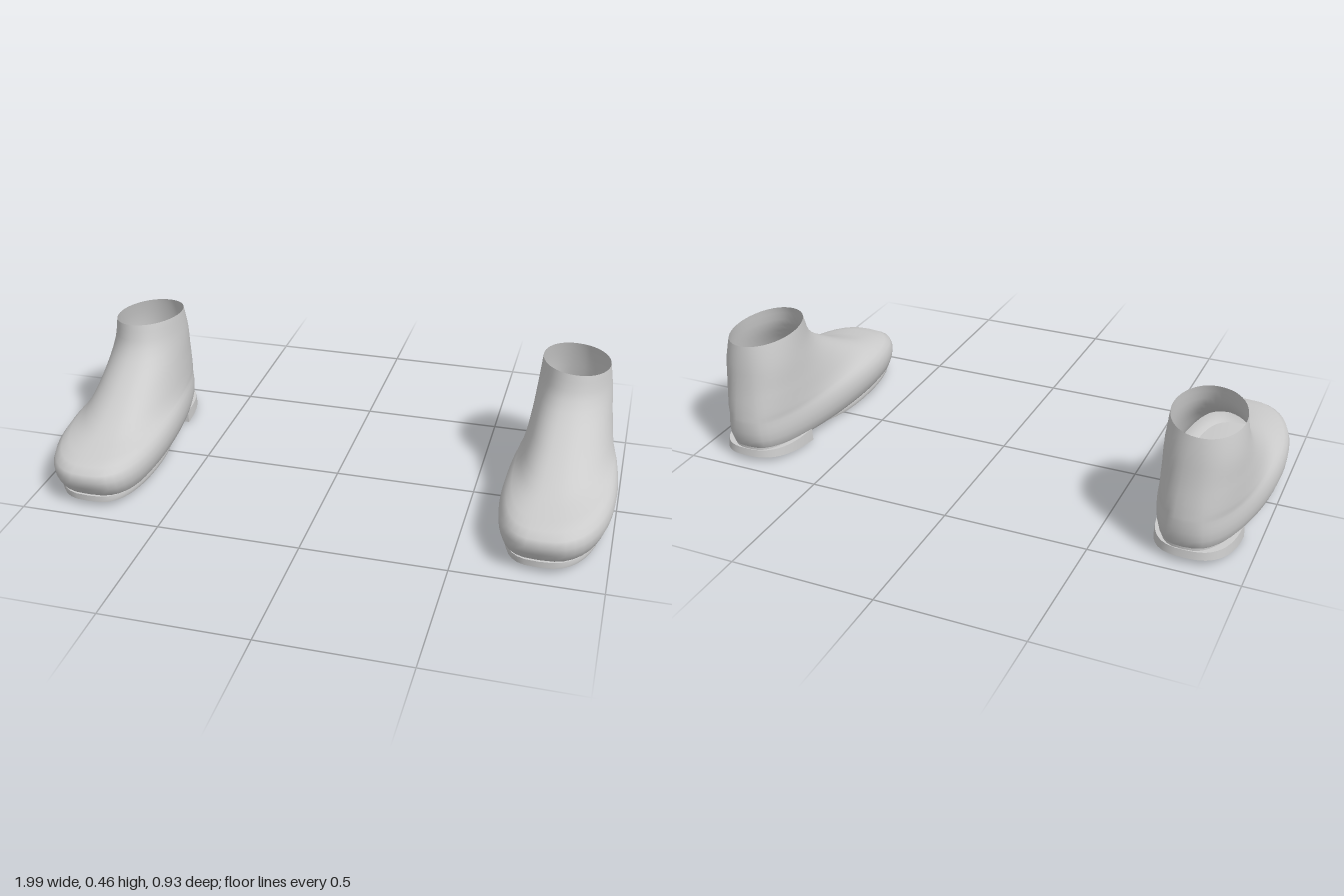
import * as THREE from 'three';
import { toCreasedNormals } from 'three/addons/utils/BufferGeometryUtils.js';

const SEG = 48;
const lerp = THREE.MathUtils.lerp;

// Skin a stack of closed rings (bottom to top), optionally closing both ends
function loft(rings, capped) {
  const n = rings[0].length, pos = [], idx = [];
  rings.forEach(r => r.forEach(p => pos.push(...p)));
  for (let i = 0; i < rings.length - 1; i++) {
    for (let j = 0; j < n; j++) {
      const k = (j + 1) % n, a = i * n + j, b = i * n + k;
      idx.push(a, b, b + n, a, b + n, a + n);
    }
  }
  if (capped) {
    [0, rings.length - 1].forEach((i, end) => {
      const c = pos.length / 3;
      pos.push(...[0, 1, 2].map(d => rings[i].reduce((s, p) => s + p[d], 0) / n));
      for (let j = 0; j < n; j++) {
        const a = i * n + j, b = i * n + (j + 1) % n;
        if (end) idx.push(c, a, b); else idx.push(c, b, a);
      }
    });
  }
  const g = new THREE.BufferGeometry();
  g.setAttribute('position', new THREE.Float32BufferAttribute(pos, 3));
  g.setIndex(idx);
  g.computeVertexNormals();
  return g;
}

// Egg-shaped outline with separate heel and toe half-widths
function egg(back, front, wBack, wFront, power, place) {
  const ring = [];
  for (let j = 0; j < SEG; j++) {
    const a = j / SEG * Math.PI * 2, t = (1 + Math.cos(a)) / 2, s = Math.sin(a);
    const w = lerp(wBack, wFront, t) * Math.sign(s) * Math.abs(s) ** power;
    ring.push(place(lerp(back, front, t), w, t));
  }
  return ring;
}

// Levels of the upper: height, heel z, front z, heel half-width, front half-width
const LEVELS = [
  [0.03, -0.435, 0.41, 0.135, 0.185],
  [0.05, -0.45, 0.435, 0.148, 0.203],
  [0.08, -0.459, 0.454, 0.157, 0.214],
  [0.11, -0.462, 0.463, 0.160, 0.216],
  [0.135, -0.462, 0.455, 0.159, 0.207],
  [0.152, -0.461, 0.425, 0.157, 0.192],
  [0.163, -0.460, 0.375, 0.156, 0.175],
  [0.173, -0.458, 0.31, 0.156, 0.163],
  [0.19, -0.456, 0.25, 0.156, 0.150],
  [0.212, -0.452, 0.20, 0.155, 0.140],
  [0.235, -0.448, 0.148, 0.154, 0.133],
  [0.26, -0.443, 0.10, 0.152, 0.127],
  [0.285, -0.439, 0.055, 0.149, 0.123],
  [0.31, -0.435, 0.01, 0.147, 0.120],
  [0.34, -0.431, -0.034, 0.143, 0.118],
  [0.37, -0.427, -0.066, 0.138, 0.117],
  [0.40, -0.422, -0.083, 0.132, 0.116],
  [0.43, -0.417, -0.093, 0.126, 0.116],
  [0.455, -0.412, -0.102, 0.120, 0.116],
];

const centre = t => 0.81 - 0.03 * t ** 4 - 0.015 * (1 - t) ** 4;

function upper(side) {
  const rings = LEVELS.map(([y, back, front, wb, wf]) => {
    const h = y / 0.455;
    return egg(back, front, wb, wf, lerp(0.66, 0.95, h), (z, w, t) => {
      // the rim slopes down towards the heel and the outer side
      const tilt = h ** 4 * (0.022 * (1 - t) + 0.07 * w * side);
      const lift = 0.02 * (1 - t) ** 3 * (1 - h) ** 4;
      const c = lerp(centre(t), 0.803, h * h);
      return [side * c + w, y - tilt + lift, z];
    });
  });
  return loft(rings, false);
}

// Underside of the sole: toe spring, ball contact, raised waist
const underside = new THREE.SplineCurve([
  [-0.455, 0.036], [-0.3, 0.033], [-0.2, 0.033], [-0.1, 0.017],
  [0, 0.009], [0.2, 0.01], [0.34, 0.016], [0.45, 0.024],
].map(p => new THREE.Vector2(...p))).getPoints(60);

function soleY(z) {
  const i = underside.findIndex(p => p.x >= z);
  if (i <= 0) return underside[i < 0 ? underside.length - 1 : 0].y;
  const a = underside[i - 1], b = underside[i];
  return lerp(a.y, b.y, (z - a.x) / (b.x - a.x));
}

function sole(side) {
  const rings = [[0, 0.97], [0.012, 1], [0.022, 0.98]].map(([h, k]) =>
    egg(-0.445, 0.438, 0.142, 0.186, 0.68, (z, w, t) => {
      const waist = 1 - 0.12 * Math.exp(-(((z + 0.13) / 0.12) ** 2));
      return [side * centre(t) + w * k * waist, soleY(z) + h * (1 + 0.25 * (1 - t)), z];
    }));
  return toCreasedNormals(loft(rings, true), 0.7);
}

// D-shaped heel block with a straight breast at the front
function heel(side) {
  const rings = [[0, 1], [1, 0.98]].map(([top, k]) => {
    const ring = [];
    for (let j = 0; j <= 24; j++) {
      const a = Math.PI * (0.5 + j / 24), s = Math.sin(a), c = Math.cos(a);
      const z = -0.23 - 0.222 * k * Math.abs(c) ** 0.75;
      const x = 0.803 * side + 0.14 * k * Math.sign(s) * Math.abs(s) ** 0.75;
      ring.push([x, top ? 0.048 : lerp(0.002, 0.022, (-0.23 - z) / 0.222), z]);
    }
    return ring;
  });
  return toCreasedNormals(loft(rings, true), 0.7);
}

export function createModel() {
  const model = new THREE.Group();
  const material = new THREE.MeshStandardMaterial({ color: 0xcccccc, side: THREE.DoubleSide });
  for (const [name, side] of [['left', 1], ['right', -1]]) {
    const shoe = new THREE.Group();
    shoe.name = name + 'Shoe';
    for (const [part, build] of Object.entries({ upper, sole, heel })) {
      const mesh = new THREE.Mesh(build(side), material);
      mesh.name = part;
      shoe.add(mesh);
    }
    model.add(shoe);
  }
  return model;
}
